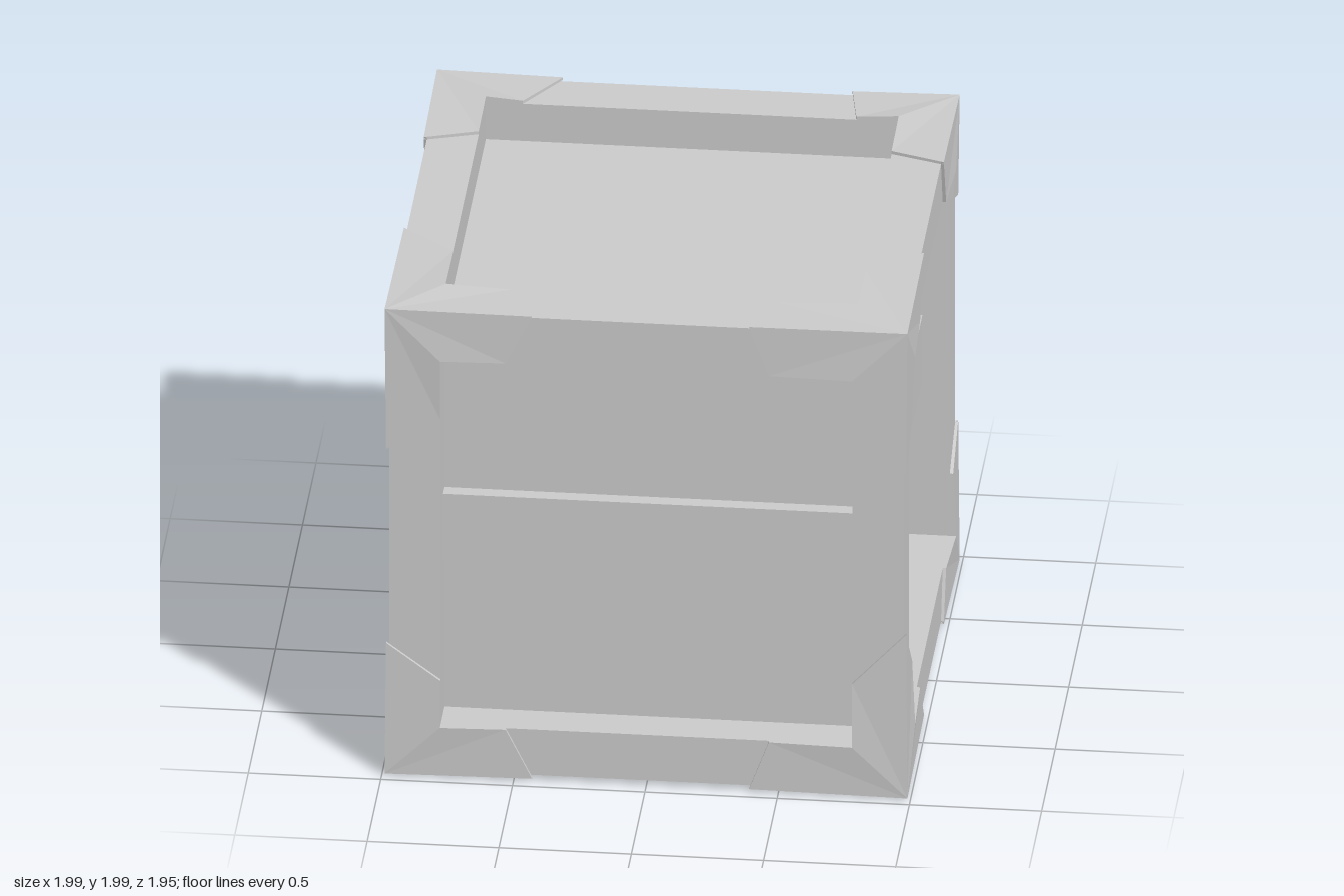
import * as THREE from 'three';

const CY = 1.005;                     // height of the crate's centre
const H = [0.973, 0.973, 0.95];       // half sizes of the frame
const I = [0.78, 0.78, 0.755];        // half sizes of the openings
const CORE = [0.82, 0.815, 0.80];     // half sizes of the recessed panels
const mat = new THREE.MeshStandardMaterial({ color: 0xcccccc, flatShading: true });

function box(name, size, pos, parent) {
  const m = new THREE.Mesh(new THREE.BoxGeometry(...size), mat);
  m.name = name;
  m.position.set(...pos);
  parent.add(m);
}

// Corner plate: arms[axis] = [end on the outer edge, end on the opening], measured from the centre
function cornerGuard(signs, arms) {
  const pos = [];
  const flip = signs[0] * signs[1] * signs[2] < 0;
  const tri = (...p) => {
    if (flip) p.reverse();
    for (const q of p) pos.push(...q.map((c, i) => c * signs[i]));
  };
  const quad = (a, b, c, d) => { tri(a, b, c); tri(a, c, d); };
  for (let n = 0; n < 3; n++) {
    const u = (n + 1) % 3, v = (n + 2) % 3;
    const pt = (pu, pv, lift) => {
      const p = [];
      p[u] = pu; p[v] = pv; p[n] = H[n] + lift;
      return p;
    };
    const drop = (p) => { const q = [...p]; q[n] = H[n]; return q; };
    const corner = pt(H[u] + 0.016, H[v] + 0.016, 0.016);
    const rim = [
      pt(arms[u][0], H[v] + 0.011, 0.011),
      pt(arms[u][1], I[v], 0.013),
      pt(I[u], I[v], 0.024),
      pt(I[u], arms[v][1], 0.013),
      pt(H[u] + 0.011, arms[v][0], 0.011),
    ];
    // slightly bulged L-shaped face
    quad(corner, rim[0], rim[1], rim[2]);
    quad(corner, rim[2], rim[3], rim[4]);
    // thin edges down to the frame
    for (let i = 0; i < 4; i++) quad(rim[i], drop(rim[i]), drop(rim[i + 1]), rim[i + 1]);
  }
  const g = new THREE.BufferGeometry();
  g.setAttribute('position', new THREE.Float32BufferAttribute(pos, 3));
  g.computeVertexNormals();
  return new THREE.Mesh(g, mat);
}

export function createModel() {
  const crate = new THREE.Group();
  crate.name = 'crate';

  // Recessed panels
  box('panels', CORE.map((c) => c * 2), [0, CY, 0], crate);

  // Middle slat around the four sides
  box('middleSlats', [1.74, 0.28, 1.71], [0, 1.02, 0], crate);

  // Frame beams along the twelve edges
  const frame = new THREE.Group();
  frame.name = 'frame';
  crate.add(frame);
  const w = H.map((h, i) => h - I[i]);
  const mid = H.map((h, i) => (h + I[i]) / 2);
  for (const a of [-1, 1]) for (const b of [-1, 1]) {
    box('post', [w[0], H[1] * 2, w[2]], [a * mid[0], CY, b * mid[2]], frame);
    box('crossBeam', [I[0] * 2, w[1], w[2]], [0, CY + a * mid[1], b * mid[2]], frame);
    box('sideBeam', [w[0], w[1], I[2] * 2], [a * mid[0], CY + b * mid[1], 0], frame);
  }

  // Corner guards, each with its own uneven arm lengths
  const guards = new THREE.Group();
  guards.name = 'cornerGuards';
  guards.position.y = CY;
  crate.add(guards);
  const zFront = [0.30, 0.465], zBack = [0.43, 0.495];
  const list = [
    [[-1, 1, 1], [[0.43, 0.53], [0.39, 0.53], zFront]],
    [[1, 1, 1], [[0.39, 0.465], [0.39, 0.53], zFront]],
    [[-1, -1, 1], [[0.43, 0.53], [0.435, 0.585], zFront]],
    [[1, -1, 1], [[0.39, 0.465], [0.295, 0.515], zFront]],
    [[-1, 1, -1], [[0.51, 0.64], [0.39, 0.52], zBack]],
    [[1, 1, -1], [[0.585, 0.62], [0.565, 0.655], zBack]],
    [[-1, -1, -1], [[0.39, 0.50], [0.435, 0.585], zBack]],
    [[1, -1, -1], [[0.42, 0.50], [0.395, 0.515], zBack]],
  ];
  for (const [signs, arms] of list) {
    const m = cornerGuard(signs, arms);
    m.name = 'cornerGuard';
    guards.add(m);
  }
  return crate;
}
